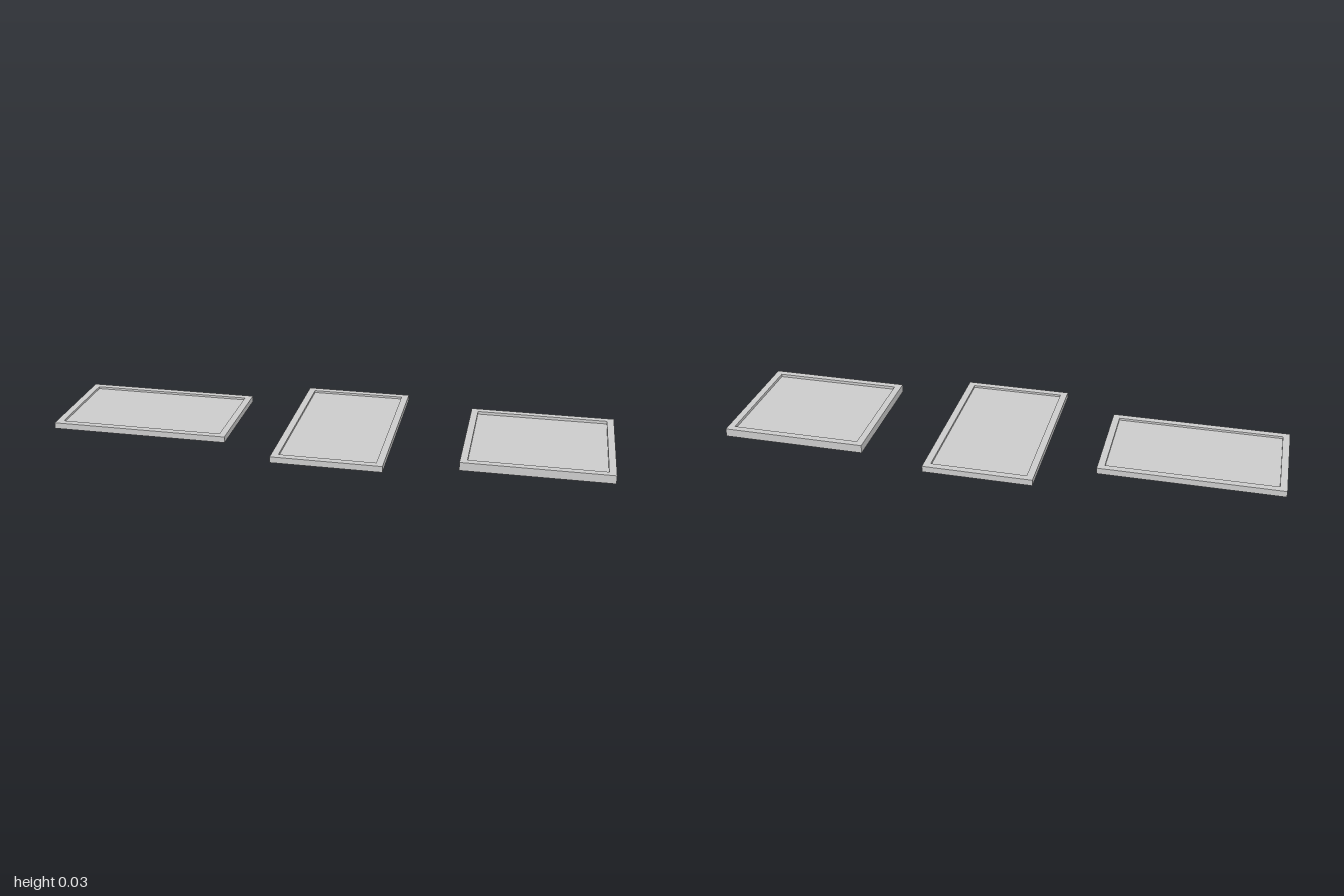
import * as THREE from 'three';

const material = new THREE.MeshStandardMaterial({ color: 0xcccccc, flatShading: true });
const TOP = 0.03; // all rims share the same top level

// Counter-clockwise rectangle path, centred on the origin
function rectangle(path, w, d) {
  path.moveTo(-w / 2, -d / 2);
  path.lineTo(w / 2, -d / 2);
  path.lineTo(w / 2, d / 2);
  path.lineTo(-w / 2, d / 2);
  path.closePath();
  return path;
}

// A flat rectangular frame holding a thin panel recessed on both sides
function framedPanel(name, { x, width, depth, bottom, rim }) {
  const group = new THREE.Group();
  group.name = name;
  group.position.x = x;
  const height = TOP - bottom;
  const innerW = width - 2 * rim;
  const innerD = depth - 2 * rim;

  // Rim
  const shape = rectangle(new THREE.Shape(), width, depth);
  shape.holes.push(rectangle(new THREE.Path(), innerW, innerD));
  const rimGeometry = new THREE.ExtrudeGeometry(shape, { depth: height, bevelEnabled: false });
  rimGeometry.rotateX(-Math.PI / 2);
  const rimMesh = new THREE.Mesh(rimGeometry, material);
  rimMesh.name = 'rim';
  rimMesh.position.y = bottom;

  // Recessed panel
  const panelHeight = height * 0.3;
  const panel = new THREE.Mesh(new THREE.BoxGeometry(innerW, panelHeight, innerD), material);
  panel.name = 'panel';
  panel.position.y = bottom + height * 0.5;

  group.add(rimMesh, panel);
  return group;
}

export function createModel() {
  const model = new THREE.Group();
  model.name = 'framedPanels';
  model.add(
    framedPanel('widePanel', { x: -0.679, width: 0.642, depth: 0.39, bottom: 0.008, rim: 0.025 }),
    framedPanel('tallPanel', { x: 0.035, width: 0.39, depth: 0.644, bottom: 0.008, rim: 0.025 }),
    framedPanel('squarePanel', { x: 0.74, width: 0.52, depth: 0.478, bottom: 0, rim: 0.025 })
  );
  return model;
}
